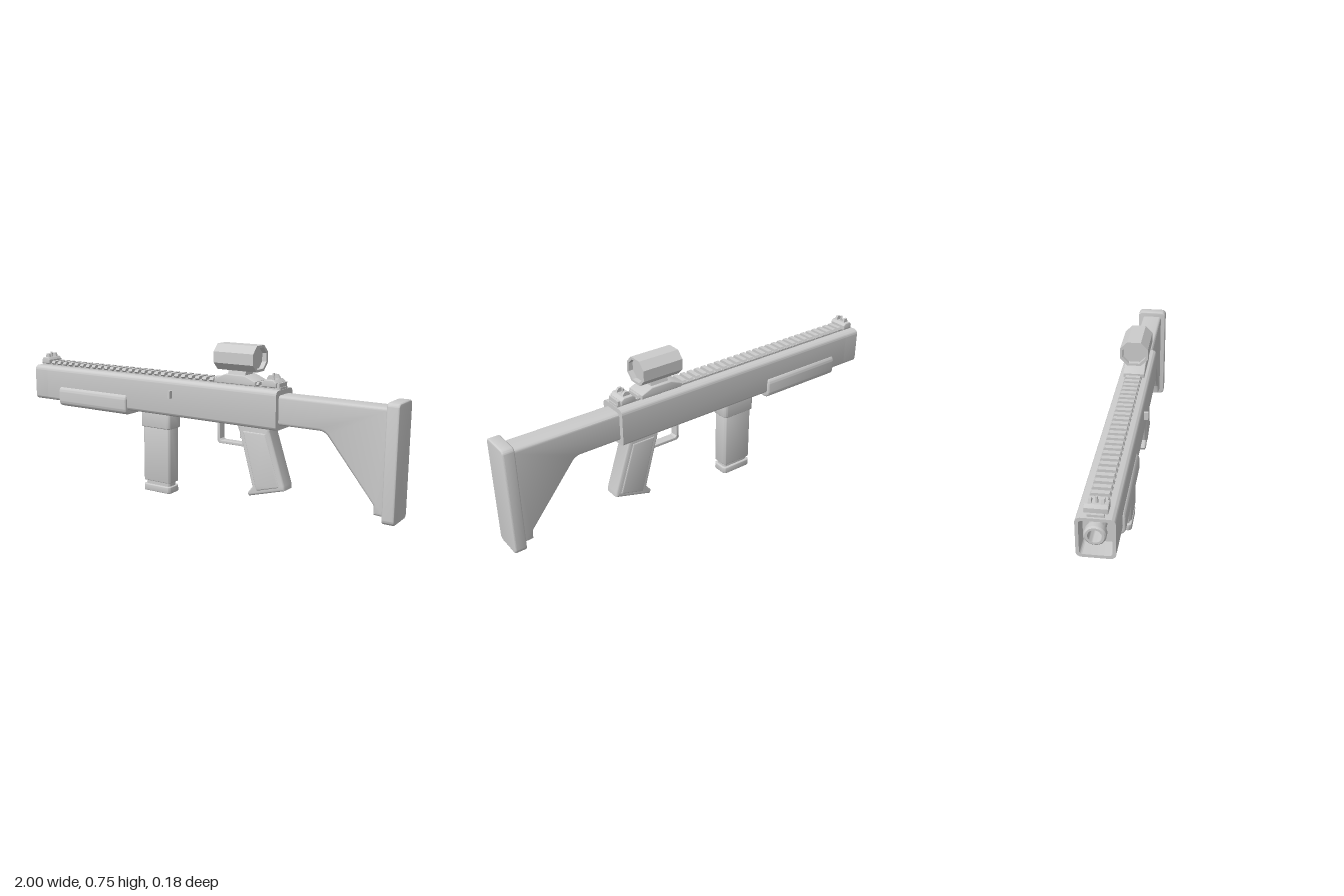
import * as THREE from 'three';
import { toCreasedNormals } from 'three/addons/utils/BufferGeometryUtils.js';

const grey = new THREE.MeshStandardMaterial({ color: 0xcccccc });

export function createModel() {
  const model = new THREE.Group();

  const add = (name, geometry) => {
    const mesh = new THREE.Mesh(toCreasedNormals(geometry, 0.6), grey);
    mesh.name = name;
    model.add(mesh);
    return mesh;
  };
  const poly = (pts) => new THREE.Shape(pts.map(([a, b]) => new THREE.Vector2(a, b)));

  // rounded rectangle from corner limits
  const round = (a0, a1, b0, b1, r) => {
    const s = new THREE.Shape();
    s.absarc(a1 - r, b1 - r, r, 0, Math.PI / 2);
    s.absarc(a0 + r, b1 - r, r, Math.PI / 2, Math.PI);
    s.absarc(a0 + r, b0 + r, r, Math.PI, Math.PI * 1.5);
    s.absarc(a1 - r, b0 + r, r, Math.PI * 1.5, Math.PI * 2);
    return s;
  };
  // prism; a bevel stays inside the given length and outline
  const prism = (shape, length, bevel) => new THREE.ExtrudeGeometry(shape, {
    depth: length - 2 * bevel, curveSegments: 6, bevelEnabled: bevel > 0,
    bevelSize: bevel, bevelOffset: -bevel, bevelThickness: bevel, bevelSegments: 3,
  }).translate(0, 0, bevel);
  // cross-section (z, y) run along x
  const alongX = (name, shape, x0, x1, bevel = 0) =>
    add(name, prism(shape, x1 - x0, bevel).rotateY(Math.PI / 2).translate(x0, 0, 0));
  // side profile (x, y) run across z
  const acrossZ = (name, shape, half, bevel = 0, z = 0) =>
    add(name, prism(shape, 2 * half, bevel).translate(0, 0, z - half));
  // plan outline (x, z) run upwards
  const upright = (name, shape, y0, y1, bevel = 0) =>
    add(name, prism(shape, y1 - y0, bevel).rotateX(-Math.PI / 2).translate(0, y0, 0));

  // receiver with hollow muzzle end
  const section = () => round(-0.075, 0.075, 0.395, 0.571, 0.022);
  alongX('receiver', section(), -0.9, 0.454);
  const shroud = section();
  shroud.holes.push(round(-0.062, 0.062, 0.408, 0.558, 0.014));
  alongX('frontShroud', shroud, -0.984, -0.9);

  // barrel: lathed tube with a bore
  const barrel = [[0.027, -0.1], [0.027, 0], [0.036, 0], [0.042, 0.006], [0.042, 0.03], [0.034, 0.034], [0.034, 0.12]]
    .map(([r, h]) => new THREE.Vector2(r, h < 0 ? 0.1 : h));
  add('barrel', new THREE.LatheGeometry(barrel, 24).rotateZ(-Math.PI / 2).translate(-1, 0.505, 0))
    .material = Object.assign(grey.clone(), { side: THREE.DoubleSide });

  // forend wrapping the lower receiver
  alongX('forend', round(-0.087, 0.087, 0.373, 0.477, 0.03), -0.812, -0.37, 0.008);

  // charging handle
  add('chargingHandle', new THREE.BoxGeometry(0.014, 0.036, 0.03).translate(-0.103, 0.503, 0.08));

  // accessory rail
  alongX('railBase', poly([[-0.032, 0.565], [0.032, 0.565], [0.032, 0.581], [-0.032, 0.581]]), -0.975, 0.452);
  const tooth = [[-0.032, 0.576], [0.032, 0.576], [0.041, 0.584], [0.034, 0.595], [-0.034, 0.595], [-0.041, 0.584]];
  for (let i = 0; i < 35; i++) {
    const x = -0.94 + i * 0.0395;
    alongX('railTooth', poly(tooth), x, x + 0.022);
  }

  // iron sights: clamp base, side ears, centre post
  const sight = (name, x, w) => {
    acrossZ(name + 'Base', poly([[x - w, 0.58], [x + w, 0.58], [x + w, 0.6], [x + w * 0.6, 0.612],
      [x - w * 0.6, 0.612], [x - w, 0.6]]), 0.046, 0.004);
    for (const s of [-1, 1]) {
      acrossZ(name + 'Ear', poly([[x - w * 0.6, 0.605], [x + w * 0.6, 0.605], [x + w * 0.45, 0.62],
        [x + 0.008, 0.63], [x - 0.008, 0.63], [x - w * 0.45, 0.62]]), 0.006, 0, s * 0.024);
    }
    add(name + 'Post', new THREE.CylinderGeometry(0.005, 0.007, 0.034, 10).translate(x, 0.62, 0));
  };
  sight('frontSight', -0.938, 0.026);
  sight('rearSight', 0.4, 0.036);
  add('rearSightFoot', new THREE.BoxGeometry(0.03, 0.022, 0.07).translate(0.433, 0.588, 0));

  // optic mount and neck
  acrossZ('opticMount', poly([[0.122, 0.578], [0.335, 0.578], [0.335, 0.597], [0.28, 0.62],
    [0.178, 0.62], [0.122, 0.597]]), 0.05, 0.004);
  alongX('opticNeck', poly([[-0.035, 0.615], [0.035, 0.615], [0.026, 0.645], [-0.026, 0.645]]), 0.185, 0.275);

  // octagonal optic, open at both ends around a recessed lens
  const octagon = (w, h, c) => poly([[-w + c, -h], [w - c, -h], [w, -h + c], [w, h - c],
    [w - c, h], [-w + c, h], [-w, h - c], [-w, -h + c]]);
  const housing = octagon(0.065, 0.058, 0.033);
  housing.holes.push(octagon(0.053, 0.047, 0.028));
  alongX('opticHousing', housing, 0.128, 0.332).position.y = 0.695;
  alongX('opticLens', octagon(0.055, 0.049, 0.028), 0.15, 0.31).position.y = 0.695;

  // magazine well, magazine and its floor plate
  upright('magazineWell', round(-0.307, -0.132, -0.05, 0.05, 0.018), 0.322, 0.41, 0.005);
  upright('magazine', round(-0.3, -0.14, -0.043, 0.043, 0.018), 0.052, 0.34, 0.004);
  upright('magazineNeck', round(-0.288, -0.15, -0.031, 0.031, 0.012), 0.025, 0.06);
  upright('magazineFloor', round(-0.3, -0.14, -0.043, 0.043, 0.018), 0, 0.033, 0.004);

  // pistol grip with raised side panels
  acrossZ('grip', poly([[0.238, 0.41], [0.41, 0.41], [0.405, 0.378], [0.482, 0.145], [0.484, 0.122],
    [0.302, 0.07], [0.295, 0.085], [0.32, 0.118]]), 0.042, 0.012);
  acrossZ('gripPanels', poly([[0.272, 0.37], [0.385, 0.37], [0.46, 0.135], [0.345, 0.102], [0.338, 0.125]]), 0.046, 0.006);

  // trigger guard and trigger
  const guard = poly([[0.12, 0.41], [0.12, 0.302], [0.13, 0.291], [0.28, 0.291], [0.28, 0.305],
    [0.142, 0.305], [0.134, 0.312], [0.134, 0.41]]);
  acrossZ('triggerGuard', guard, 0.02, 0.002);
  acrossZ('trigger', poly([[0.218, 0.405], [0.25, 0.405], [0.25, 0.335], [0.236, 0.325], [0.238, 0.35], [0.226, 0.375]]), 0.01);

  // shoulder stock and butt pad
  const stock = new THREE.Shape();
  stock.moveTo(0.44, 0.549);
  stock.lineTo(0.955, 0.549);
  stock.lineTo(0.955, 0.092);
  stock.lineTo(0.902, 0.095);
  stock.lineTo(0.898, 0.138);
  stock.lineTo(0.69, 0.395);
  stock.quadraticCurveTo(0.675, 0.415, 0.65, 0.417);
  stock.lineTo(0.44, 0.417);
  acrossZ('stock', stock, 0.051, 0.014);
  alongX('buttPad', round(-0.074, 0.074, 0.069, 0.574, 0.022), 0.947, 1, 0.006);

  return model;
}
